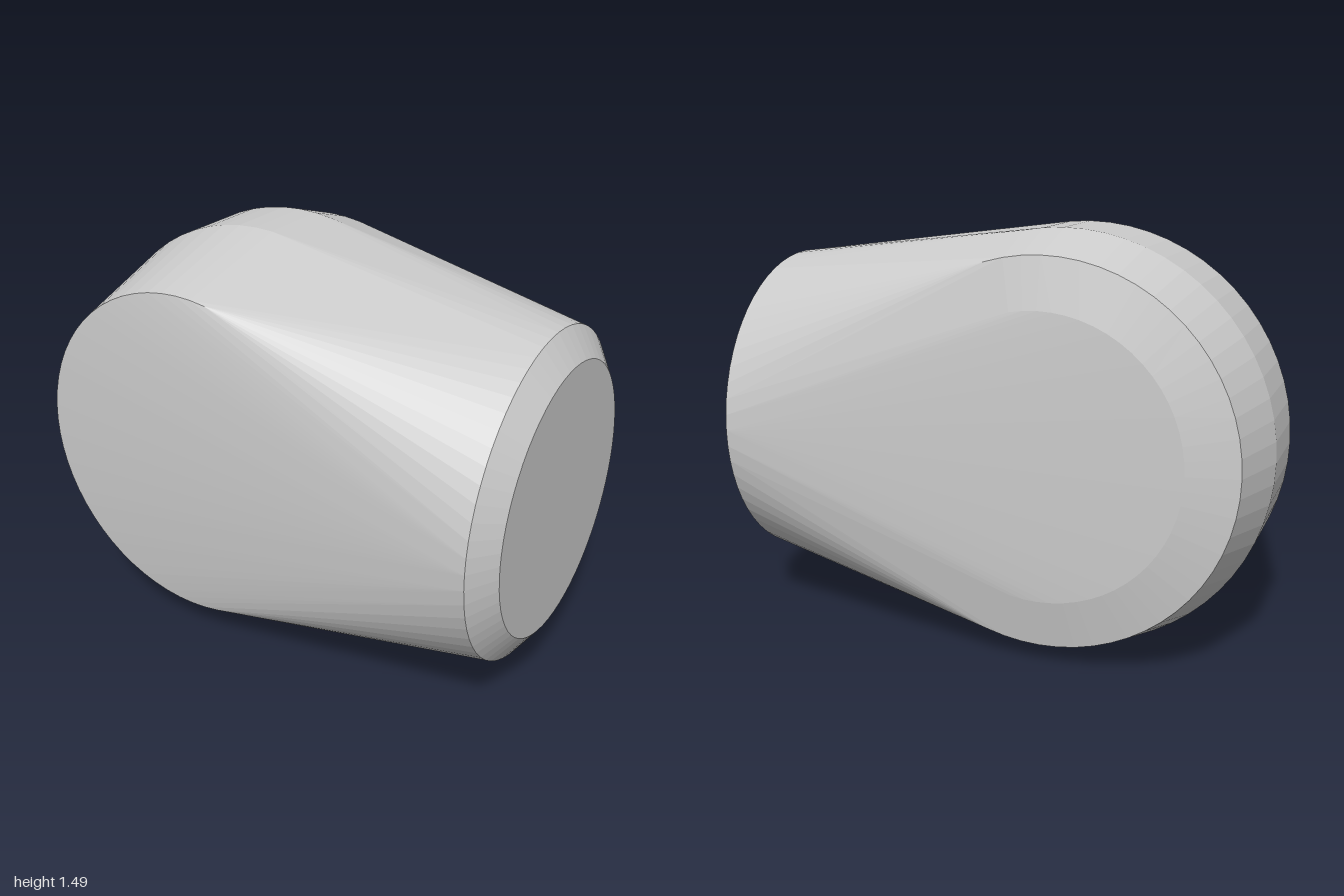
import * as THREE from 'three';
import { ConvexGeometry } from 'three/addons/geometries/ConvexGeometry.js';

const SEGMENTS = 64;
const CENTRE_Y = 0.745;
const HEAD_X = -0.255;

// Points of a circle, placed by a function of its cosine and sine offsets
function ring(radius, place) {
  return Array.from({ length: SEGMENTS }, (_, i) => {
    const a = (i / SEGMENTS) * Math.PI * 2;
    return place(radius * Math.cos(a), radius * Math.sin(a));
  });
}

export function createModel() {
  const group = new THREE.Group();
  group.name = 'roundedHousing';

  // Round head: rings about the z axis, [z, radius] from front to back
  const headProfile = [[0.47, 0.625], [0, 0.745], [-0.29, 0.745], [-0.515, 0.675], [-0.55, 0.5]];
  const head = headProfile.flatMap(([z, r]) =>
    ring(r, (u, v) => new THREE.Vector3(HEAD_X + u, CENTRE_Y + v, z)));

  // Round end with a chamfer: rings about the x axis, [x, radius]
  const endProfile = [[0.93, 0.594], [1, 0.49]];
  const end = endProfile.flatMap(([x, r]) =>
    ring(r, (u, v) => new THREE.Vector3(x, CENTRE_Y + v, u)));

  // The body is the taut skin stretched over the head and the end
  const body = new THREE.Mesh(
    new ConvexGeometry([...head, ...end]),
    new THREE.MeshStandardMaterial({ color: 0xcccccc, flatShading: true }));
  body.name = 'body';
  group.add(body);

  return group;
}
